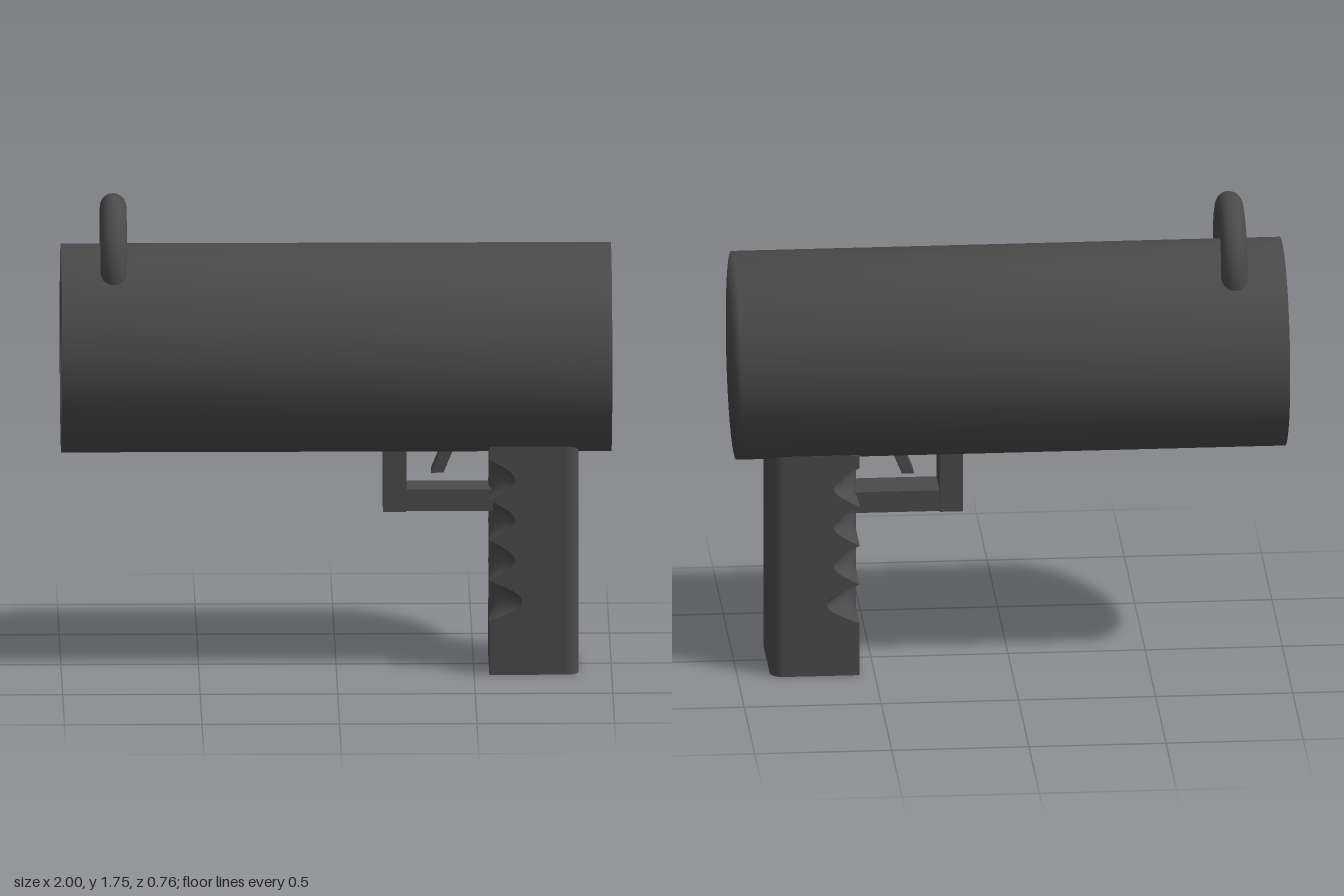
import * as THREE from 'three';
import { toCreasedNormals } from 'three/addons/utils/BufferGeometryUtils.js';

export function createModel() {
  const model = new THREE.Group();
  const material = new THREE.MeshStandardMaterial({ color: 0x4a4a4a });

  const add = (name, geometry, x = 0, y = 0, z = 0) => {
    const mesh = new THREE.Mesh(geometry, material);
    mesh.name = name;
    mesh.position.set(x, y, z);
    model.add(mesh);
    return mesh;
  };

  // Barrel: closed at the rear (+x), bored at the muzzle (-x), softly shaded rims
  const profile = [[0, 0.7], [0.22, 0.7], [0.22, -1], [0.38, -1], [0.38, 1], [0, 1]];
  const barrel = new THREE.LatheGeometry(profile.map(([r, h]) => new THREE.Vector2(r, h)), 64);
  barrel.rotateZ(-Math.PI / 2);
  add('barrel', barrel, 0, 1.18, 0);

  // Ring sight: an arch whose feet sink into the barrel wall
  const arch = new THREE.TorusGeometry(0.202, 0.048, 20, 48, Math.PI * 1.2);
  arch.rotateZ(-Math.PI * 0.1);
  arch.rotateY(Math.PI / 2);
  add('ringSight', arch, -0.81, 1.5, 0);
  add('sightPost', new THREE.BoxGeometry(0.06, 0.07, 0.056), -0.81, 1.56, 0);

  // Grip: rounded back edges, finger grooves deepening towards both front edges
  const x0 = 0.555, x1 = 0.88, w = 0.19, r = 0.05;
  const outline = new THREE.Shape();
  outline.moveTo(x0, -w);
  outline.lineTo(x1 - r, -w);
  outline.absarc(x1 - r, -w + r, r, -Math.PI / 2, 0);
  outline.absarc(x1 - r, w - r, r, 0, Math.PI / 2);
  for (let i = 0; i <= 8; i++) outline.lineTo(x0, w - (i / 8) * 2 * w);

  const grip = new THREE.ExtrudeGeometry(outline, {
    depth: 0.85, steps: 68, bevelEnabled: false, curveSegments: 8,
  });
  grip.rotateX(-Math.PI / 2);
  const grooveStart = 0.2, pitch = 0.15, grooves = 4;
  const pos = grip.attributes.position;
  for (let i = 0; i < pos.count; i++) {
    const t = (pos.getY(i) - grooveStart) / pitch;
    if (pos.getX(i) > x0 + 0.001 || t <= 0 || t >= grooves) continue;
    const depth = (t < 1 ? 0.12 : 0.095) * Math.abs(Math.sin(t * Math.PI));
    pos.setX(i, x0 + depth * Math.abs(pos.getZ(i)) / w);
  }
  add('grip', toCreasedNormals(grip, 0.6));

  // Trigger guard: front post and lower bar
  add('guardPost', new THREE.BoxGeometry(0.085, 0.255, 0.17), 0.2125, 0.7125, 0);
  add('guardBar', new THREE.BoxGeometry(0.32, 0.08, 0.15), 0.41, 0.625, 0);

  // Trigger: slanted blade
  const blade = new THREE.Shape([
    [0.345, 0.72], [0.39, 0.72], [0.435, 0.83], [0.39, 0.83],
  ].map(([x, y]) => new THREE.Vector2(x, y)));
  const trigger = new THREE.ExtrudeGeometry(blade, { depth: 0.08, bevelEnabled: false });
  add('trigger', trigger, 0, 0, -0.04);

  return model;
}
